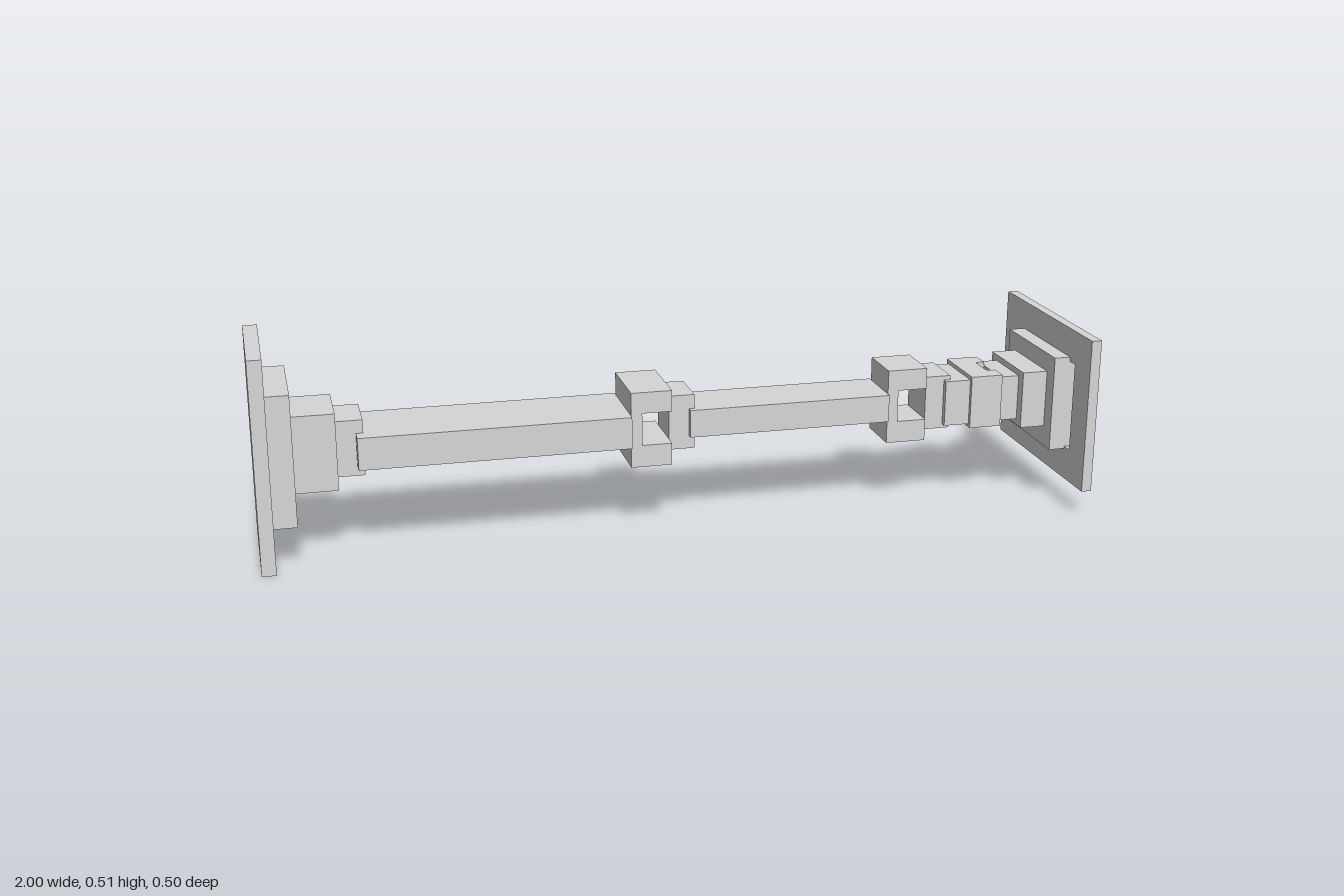
import * as THREE from 'three';

export function createModel() {
  const model = new THREE.Group();
  model.name = 'linkedArm';
  const grey = new THREE.MeshStandardMaterial({ color: 0xd6d6d6 });
  grey.name = 'lightGrey';

  const add = (name, geometry) => {
    const mesh = new THREE.Mesh(geometry, grey);
    mesh.name = name;
    model.add(mesh);
    return mesh;
  };

  // Box from x0 to x1, from y0 to y1, and from -z to z
  const block = (name, x0, x1, y0, y1, z) => {
    const mesh = add(name, new THREE.BoxGeometry(x1 - x0, y1 - y0, 2 * z));
    mesh.position.set((x0 + x1) / 2, (y0 + y1) / 2, 0);
  };

  const polygon = (points) => new THREE.Shape(points.map(([a, b]) => new THREE.Vector2(a, b)));

  // U-shaped profile opening toward +x
  const forkShape = (x0, xBack, x1, a0, b0, b1, a1) => polygon([
    [x0, a0], [x1, a0], [x1, b0], [xBack, b0], [xBack, b1], [x1, b1], [x1, a1], [x0, a1],
  ]);

  // Stepped base
  block('basePlate', -1, -0.966, 0, 0.513, 0.151);
  block('baseStep', -0.966, -0.911, 0.101, 0.418, 0.121);
  block('baseBlock', -0.911, -0.811, 0.167, 0.353, 0.078);
  block('baseCollar', -0.811, -0.748, 0.194, 0.329, 0.062);

  // Arm segments and the collars between them
  block('longArm', -0.765, -0.122, 0.219, 0.297, 0.1);
  block('middleCollar', -0.022, 0.041, 0.194, 0.329, 0.057);
  block('shortArm', 0.027, 0.531, 0.226, 0.294, 0.073);

  // Joint forks with upper and lower prongs
  for (const [name, x0, z] of [['middleFork', -0.122, 0.088], ['wristFork', 0.531, 0.062]]) {
    const shape = forkShape(x0, x0 + 0.027, x0 + 0.1, 0.167, 0.221, 0.301, 0.353);
    add(name, new THREE.ExtrudeGeometry(shape, { depth: 2 * z, bevelEnabled: false })).position.z = -z;
  }

  // Wrist blocks
  block('wristCollar', 0.631, 0.695, 0.194, 0.329, 0.058);
  block('wristBlock', 0.678, 0.742, 0.204, 0.318, 0.073);

  // Hand fork with front and back prongs
  const handShape = forkShape(0.742, 0.8, 0.823, -0.083, -0.035, 0.035, 0.083);
  const hand = add('handFork', new THREE.ExtrudeGeometry(handShape, { depth: 0.132, bevelEnabled: false }));
  hand.rotation.x = -Math.PI / 2;
  hand.position.y = 0.196;

  // Stepped end, its last step reaching into an open frame
  block('endCollar', 0.823, 0.872, 0.206, 0.319, 0.07);
  block('endBlock', 0.872, 0.935, 0.191, 0.334, 0.097);
  block('endStep', 0.935, 0.99, 0.141, 0.379, 0.137);
  const rectangle = (z, y0, y1) => [[-z, y0], [z, y0], [z, y1], [-z, y1]];
  const frame = polygon(rectangle(0.248, 0.066, 0.45));
  frame.holes.push(polygon(rectangle(0.165, 0.147, 0.368)));
  const endFrame = add('endFrame', new THREE.ExtrudeGeometry(frame, { depth: 0.025, bevelEnabled: false }));
  endFrame.rotation.y = Math.PI / 2;
  endFrame.position.x = 0.975;

  return model;
}
